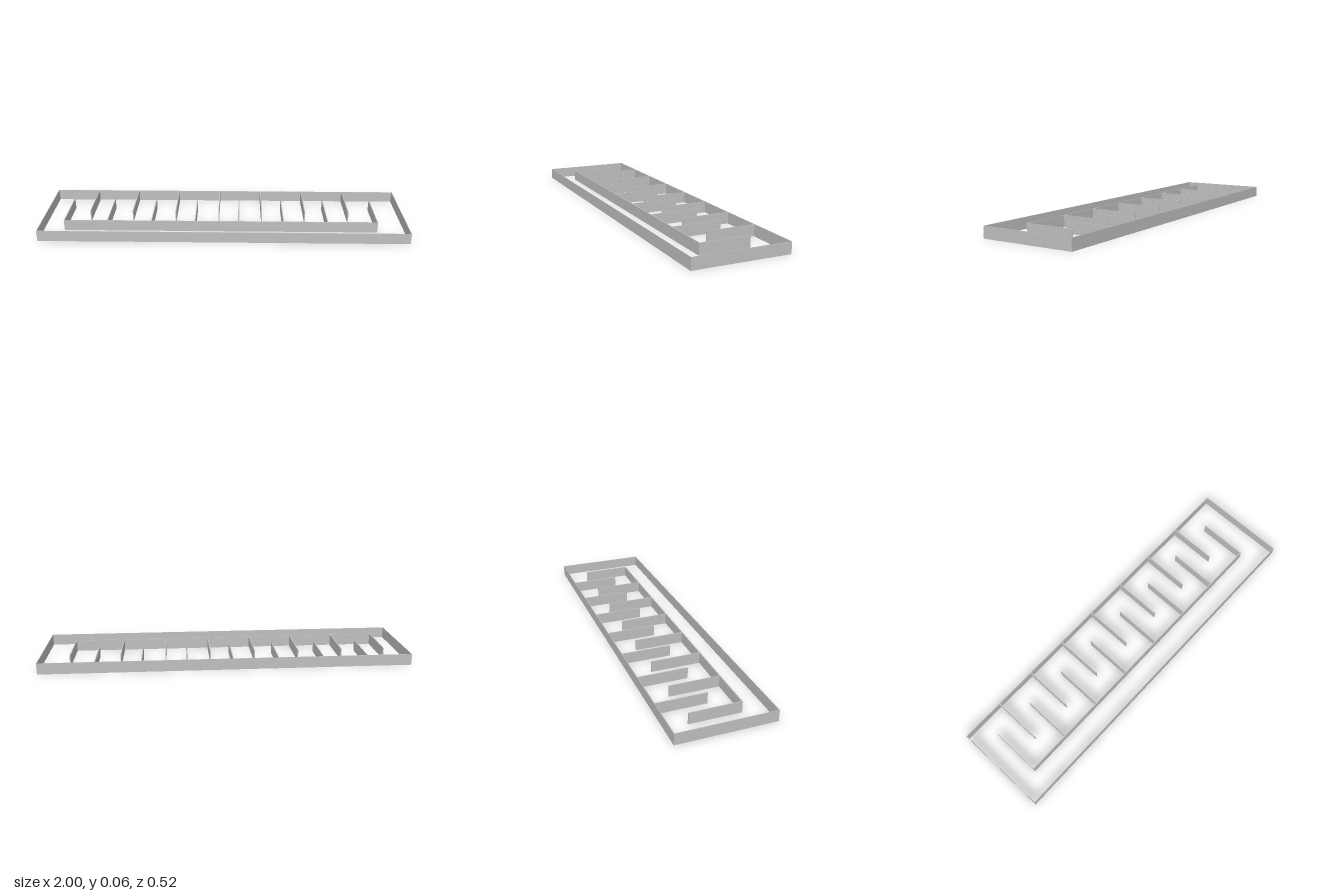
import * as THREE from 'three';

export function createModel() {
  const model = new THREE.Group();
  model.name = 'combMaze';
  const grey = new THREE.MeshStandardMaterial({ color: 0xc0c0c0 });
  grey.name = 'wall grey';

  const H = 0.061;       // wall height
  const X = 1, Z = 0.258; // half extents of the frame
  const T = 0.003;       // frame wall thickness
  const t = 0.005;       // inner wall thickness

  // Upright wall filling the given x and z ranges
  function wall(name, x0, x1, z0, z1, parent) {
    const mesh = new THREE.Mesh(new THREE.BoxGeometry(x1 - x0, H, z1 - z0), grey);
    mesh.position.set((x0 + x1) / 2, H / 2, (z0 + z1) / 2);
    mesh.name = name;
    parent.add(mesh);
  }

  // Outer rectangular frame
  const frame = new THREE.Group();
  frame.name = 'frame';
  wall('frontWall', -X, X, Z - T, Z, frame);
  wall('backWall', -X, X, -Z, -Z + T, frame);
  wall('rightWall', -X, -X + T, -Z + T, Z - T, frame);
  wall('leftWall', X - T, X, -Z + T, Z - T, frame);

  // Teeth growing forward from the back wall
  const backTeeth = new THREE.Group();
  backTeeth.name = 'backTeeth';
  for (const x of [-0.755, -0.515, -0.272, -0.029, 0.213, 0.456, 0.7])
    wall('backTooth', x - t / 2, x + t / 2, -Z + T, 0.012, backTeeth);

  // Free-standing comb whose teeth interleave with the back teeth
  const comb = new THREE.Group();
  comb.name = 'comb';
  const xs = [-0.878, -0.64, -0.397, -0.157, 0.086, 0.329, 0.571, 0.843];
  const zSpine = 0.13;
  wall('combSpine', xs[0] - t / 2, xs[7] + t / 2, zSpine - t / 2, zSpine + t / 2, comb);
  for (const x of xs)
    wall('combTooth', x - t / 2, x + t / 2, -0.14, zSpine - t / 2, comb);

  model.add(frame, backTeeth, comb);
  return model;
}
